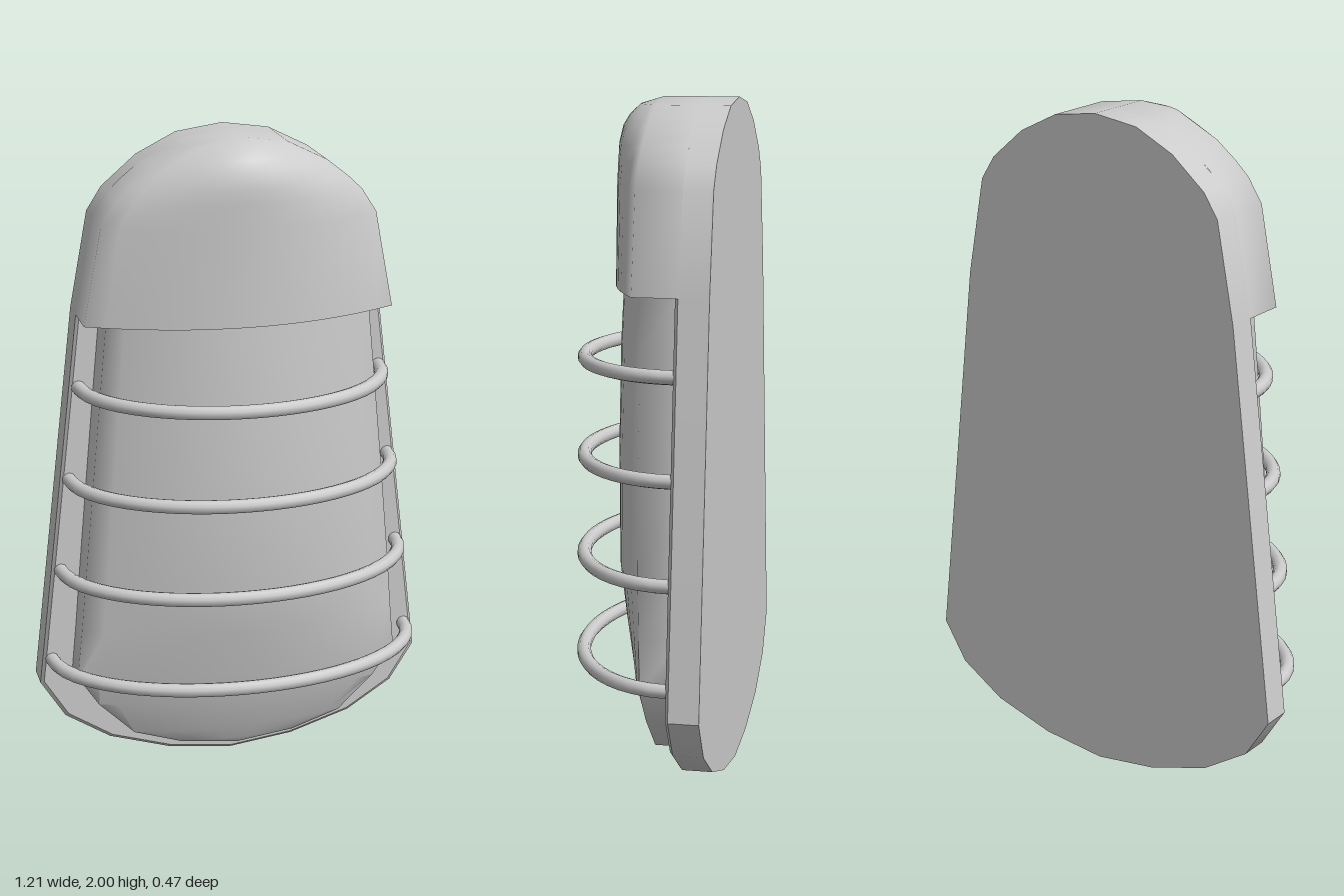
import * as THREE from 'three';
import { toCreasedNormals } from 'three/addons/utils/BufferGeometryUtils.js';

const BACK = -0.235, PLATE_FRONT = -0.137;

// Right half of the outline, bottom to top
const OUTLINE = [
  [0, 0.005], [0.2, 0.03], [0.39, 0.09], [0.53, 0.18], [0.605, 0.3], [0.465, 1.47],
  [0.41, 1.76], [0.365, 1.83], [0.26, 1.92], [0.14, 1.98], [0, 2],
];

// Bulging shell from horizontal sections [y, halfWidth, frontZ, edgeZ], bottom to top
function shell(rows, backZ, capBottom) {
  const N = 16, pos = [], index = [], cols = N + 3;
  for (const [y, w, front, edge] of rows) {
    pos.push(-w, y, backZ);
    for (let j = 0; j <= N; j++) {
      const t = (j / N) * 2 - 1;
      pos.push(t * w, y, edge + (front - edge) * (1 - t * t));
    }
    pos.push(w, y, backZ);
  }
  for (let i = 0; i < rows.length - 1; i++) {
    for (let j = 0; j < cols - 1; j++) {
      const a = i * cols + j, b = a + 1, c = a + cols, d = c + 1;
      index.push(a, b, d, a, d, c);
    }
  }
  if (capBottom) {
    const centre = pos.length / 3;
    pos.push(0, rows[0][0], backZ);
    for (let j = 0; j < cols - 1; j++) index.push(centre, j + 1, j);
  }
  const geo = new THREE.BufferGeometry();
  geo.setAttribute('position', new THREE.Float32BufferAttribute(pos, 3));
  geo.setIndex(index);
  return toCreasedNormals(geo, 1.2);
}

export function createModel() {
  const group = new THREE.Group();
  const material = new THREE.MeshStandardMaterial({ color: 0xcccccc });
  const add = (name, geometry) => {
    const mesh = new THREE.Mesh(geometry, material);
    mesh.name = name;
    group.add(mesh);
  };

  // Back plate with a narrow chamfer on its front rim
  const left = OUTLINE.slice(1, -1).reverse().map(([x, y]) => [-x, y]);
  const shape = new THREE.Shape([...OUTLINE, ...left].map(([x, y]) => new THREE.Vector2(x, y)));
  const depth = PLATE_FRONT - BACK;
  const plate = new THREE.ExtrudeGeometry(shape, { depth, steps: 10, bevelEnabled: false });
  const p = plate.attributes.position;
  for (let i = 0; i < p.count; i++) {
    if (p.getZ(i) > depth - 0.001) p.setXY(i, p.getX(i) * 0.983, 1 + (p.getY(i) - 1) * 0.99);
  }
  plate.translate(0, 0, BACK);
  add('backPlate', toCreasedNormals(plate, 0.5));

  // Hood over the top, rounding back towards its upper edge
  const hoodEdge = -0.015, roundStart = 1.87;
  const hoodOutline = [...OUTLINE.slice(5), [0.323, roundStart], [0.2, 1.95]].sort((a, b) => a[1] - b[1]);
  const hoodRows = hoodOutline.map(([x, y]) => {
    const t = Math.max(0, (y - roundStart) / (2 - roundStart));
    return [y, x, hoodEdge + 0.125 * Math.sqrt(Math.max(0, 1 - t * t)), hoodEdge];
  });
  add('hood', shell(hoodRows, -0.15, true));

  // Lens, falling away towards its rounded bottom
  add('lens', shell([
    [0.07, 0, -0.05, -0.05], [0.09, 0.18, -0.04, -0.055], [0.14, 0.33, -0.018, -0.055],
    [0.25, 0.44, 0.018, -0.05], [0.35, 0.505, 0.04, -0.045], [0.5, 0.49, 0.075, -0.04],
    [0.65, 0.477, 0.1, -0.035], [1.0, 0.444, 0.105, -0.03], [1.3, 0.415, 0.1, -0.03],
    [1.5, 0.395, 0.09, -0.03],
  ], -0.15, false));

  // Guard wires, half ellipses widening downwards
  [[1.25, 0.465], [0.963, 0.5], [0.672, 0.533], [0.38, 0.568]].forEach(([y, w], n) => {
    const points = [];
    for (let i = 0; i <= 16; i++) {
      const a = (i / 16) * Math.PI;
      points.push(new THREE.Vector3(w * Math.cos(a), y, -0.142 + 0.353 * Math.sin(a)));
    }
    add('guardWire' + (n + 1), new THREE.TubeGeometry(new THREE.CatmullRomCurve3(points), 28, 0.021, 10));
  });

  return group;
}
